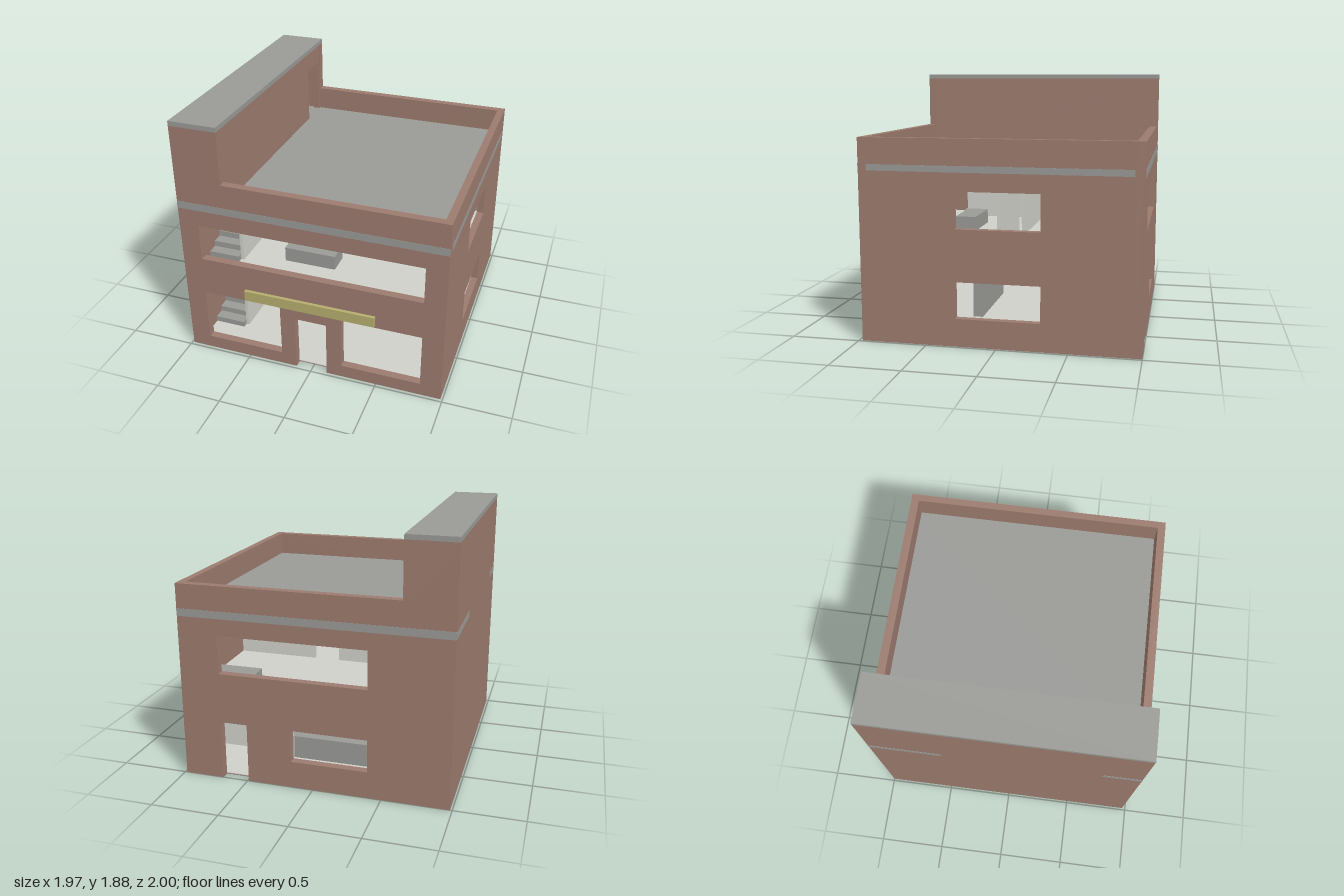
import * as THREE from 'three';

const mat = (name, color) => {
  const m = new THREE.MeshStandardMaterial({ color });
  m.name = name;
  return m;
};

export function createModel() {
  const house = new THREE.Group();
  house.name = 'house';
  const brick = mat('brick brown', 0x9c7b6e);
  const gray = mat('concrete gray', 0x999996);
  const light = mat('pale plaster', 0xd0d0ca);
  const yellow = mat('sign yellow', 0xb5ad6d);

  const add = (name, geo, m) => {
    const mesh = new THREE.Mesh(geo, m);
    mesh.name = name;
    house.add(mesh);
    return mesh;
  };
  // Box given by its limits on each axis
  const box = (name, m, x0, x1, y0, y1, z0, z1) => {
    const mesh = add(name, new THREE.BoxGeometry(x1 - x0, y1 - y0, z1 - z0), m);
    mesh.position.set((x0 + x1) / 2, (y0 + y1) / 2, (z0 + z1) / 2);
    return mesh;
  };
  // Flat wall from an outline, with rectangular openings [u0, u1, v0, v1]
  const wallGeo = (outline, holes, depth) => {
    const shape = new THREE.Shape(outline.map(p => new THREE.Vector2(p[0], p[1])));
    for (const [a, b, c, d] of holes) {
      shape.holes.push(new THREE.Path([[a, c], [a, d], [b, d], [b, c]].map(p => new THREE.Vector2(p[0], p[1]))));
    }
    return new THREE.ExtrudeGeometry(shape, { depth, bevelEnabled: false });
  };
  const wallZ = (name, m, outline, holes, z0, z1) => {
    add(name, wallGeo(outline, holes, z1 - z0), m).position.z = z0;
  };
  const wallX = (name, m, outline, holes, x0, x1) => {
    const w = add(name, wallGeo(outline, holes, x1 - x0), m);
    w.rotation.y = -Math.PI / 2;
    w.position.x = x1;
  };
  const rect = (a, b, c, d) => [[a, c], [b, c], [b, d], [a, d]];
  // Front and back outline: stepped top and a doorway cut into the base
  const facade = (d0, d1) => [
    [-0.985, 0], [d0, 0], [d0, 0.44], [d1, 0.44], [d1, 0], [0.985, 0],
    [0.985, 1.45], [-0.63, 1.45], [-0.63, 1.845], [-0.985, 1.845],
  ];

  // Outer walls
  const zf = 0.917, zb = -0.94;
  wallZ('frontWall', brick, facade(-0.12, 0.12),
    [[-0.835, 0.83, 0.81, 1.09], [-0.835, -0.235, 0.1, 0.515], [0.235, 0.83, 0.1, 0.515]], zf, 0.975);
  wallZ('backWall', brick, facade(0.49, 0.69),
    [[-0.4, 0.69, 0.81, 1.09], [-0.4, 0.16, 0.2, 0.44]], -1, zb);
  wallX('rightSideWall', brick, rect(zb, zf, 0, 1.45),
    [[-0.31, 0.29, 0.83, 1.09], [-0.31, 0.29, 0.2, 0.46]], 0.932, 0.985);
  wallX('stairSideWall', brick, rect(zb, zf, 0, 1.845), [], -0.985, -0.932);

  // Rooftop stair house with a doorway onto the terrace
  wallX('stairHouseWall', brick,
    [[zb, 1.27], [-0.92, 1.27], [-0.92, 1.7], [-0.68, 1.7], [-0.68, 1.27], [zf, 1.27], [zf, 1.845], [zb, 1.845]],
    [], -0.69, -0.637);
  box('stairHouseRoof', gray, -0.985, -0.63, 1.845, 1.88, -1, 0.975);

  // Ground floor, then storey slabs that leave the stairwell open
  box('base', brick, -0.932, 0.932, 0, 0.006, zb, zf);
  box('groundFloor', light, -0.932, 0.932, 0.006, 0.012, zb, zf);
  const slab = (name, m, y0, y1) => {
    box(name, m, -0.69, 0.932, y0, y1, zb, zf);
    box(name + 'FrontLanding', m, -0.932, -0.69, y0, y1, 0.69, zf);
    box(name + 'BackLanding', m, -0.932, -0.69, y0, y1, zb, -0.47);
  };
  slab('upperSlab', gray, 0.575, 0.63);
  slab('upperFloor', light, 0.63, 0.636);
  slab('roofSlab', gray, 1.21, 1.27);

  // Slab edges showing as bands on the outside walls
  const e = 0.002;
  box('frontBand', gray, -0.985, 0.985, 1.215, 1.27, 0.974, 0.975 + e);
  box('backBand', gray, -0.985, 0.985, 1.215, 1.27, -1 - e, -0.999);
  box('rightBand', gray, 0.984, 0.985 + e, 1.22, 1.265, -0.93, 0.915);
  box('stairSideBandFront', gray, -0.985 - e, -0.984, 1.22, 1.265, 0.69, 0.975);
  box('stairSideBandBack', gray, -0.985 - e, -0.984, 1.22, 1.265, -1, -0.47);

  // Sign board over the entrance
  box('signBoard', yellow, -0.5, 0.49, 0.535, 0.615, 0.975, 1);

  // Two flights of stairs with the plaster wall beside them
  const steps = 14, run = 1.16 / steps;
  for (const [y0, y1] of [[0.012, 0.636], [0.636, 1.27]]) {
    const rise = (y1 - y0) / steps;
    for (let i = 0; i < steps; i++) {
      const top = y0 + rise * (i + 1), z1 = 0.69 - i * run;
      box('stairStep', gray, -0.932, -0.69, Math.max(y0, top - 2 * rise), top, z1 - run, z1);
    }
  }
  box('lowerStairWall', light, -0.69, -0.665, 0.012, 0.575, -0.47, 0.65);
  box('upperStairWall', light, -0.69, -0.665, 0.636, 1.21, -0.47, 0.65);

  // Inner partitions
  wallZ('upperPartition', light,
    [[-0.665, 0.636], [0.1, 0.636], [0.1, 1.07], [0.3, 1.07], [0.3, 0.636], [0.932, 0.636], [0.932, 1.21], [-0.665, 1.21]],
    [], -0.025, 0);
  wallZ('lowerBackLining', light, rect(-0.69, 0.2, 0.012, 0.575), [[-0.4, 0.16, 0.2, 0.44]], zb, -0.92);
  box('lowPartition', light, 0.31, 0.932, 0.012, 0.2, -0.5, -0.475);

  // Counters and desks
  box('receptionCounter', gray, -0.4, 0.31, 0.012, 0.28, 0.265, 0.34);
  box('backCounter', gray, -0.59, 0.295, 0.012, 0.36, -0.91, -0.78);
  box('frontDesk', gray, -0.36, 0.04, 0.636, 0.75, 0.39, 0.556);
  box('backDesk', gray, 0.5, 0.9, 0.636, 0.75, -0.82, -0.66);

  return house;
}
